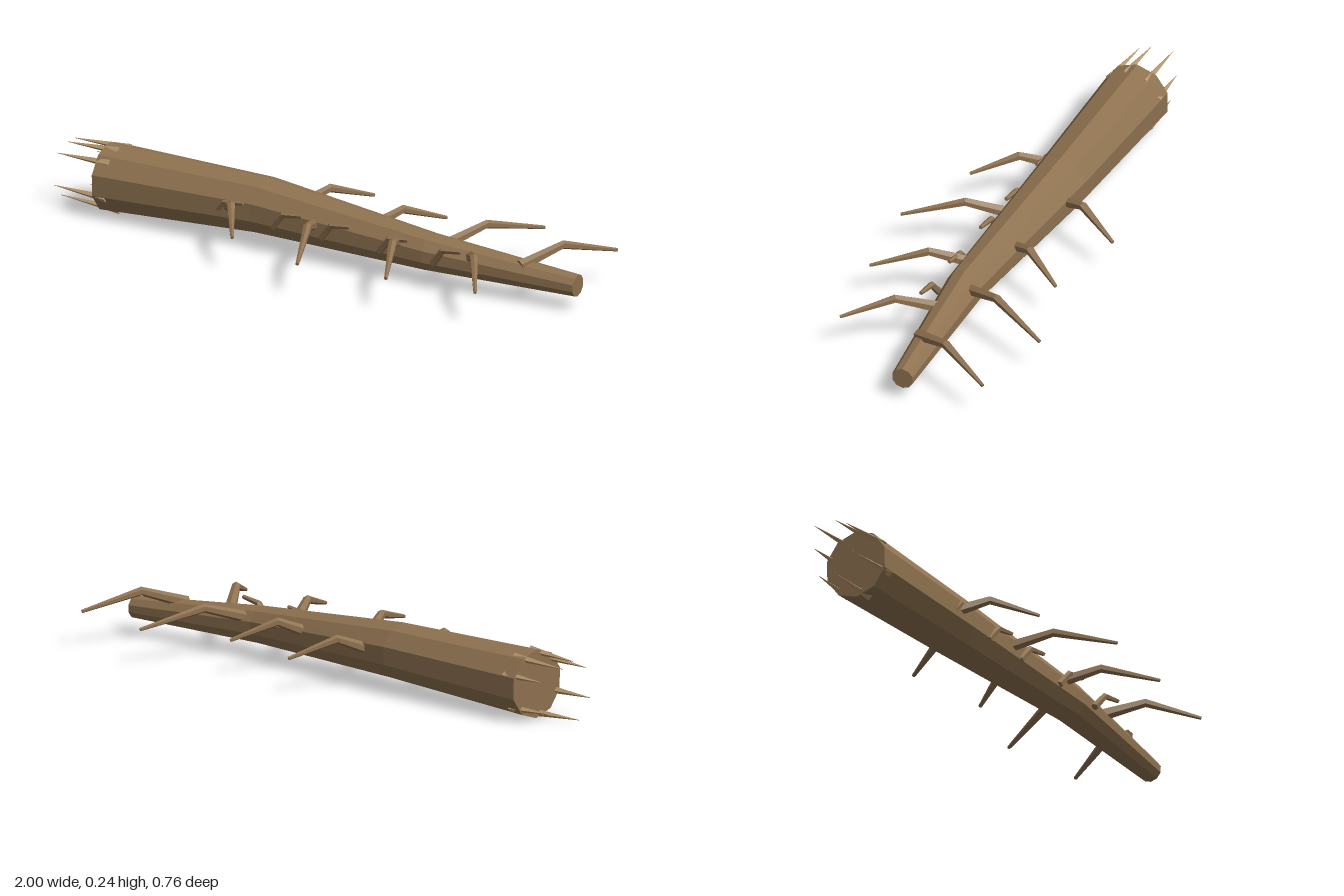
import * as THREE from 'three';

const V = (x, y, z) => new THREE.Vector3(x, y, z);
const paint = (color) => new THREE.MeshStandardMaterial({ color, flatShading: true, roughness: 1 });

// Closed faceted tube through points, with one radius per point
function loft(points, radii, sides) {
  const pos = [], idx = [];
  points.forEach((p, i) => {
    const a = points[Math.max(i - 1, 0)], b = points[Math.min(i + 1, points.length - 1)];
    const d = b.clone().sub(a).normalize();
    const u = V(0, 1, 0).addScaledVector(d, -d.y).normalize();
    const v = d.clone().cross(u);
    for (let j = 0; j < sides; j++) {
      const t = (j / sides) * Math.PI * 2;
      const q = p.clone().addScaledVector(u, Math.cos(t) * radii[i]).addScaledVector(v, Math.sin(t) * radii[i]);
      pos.push(q.x, q.y, q.z);
    }
  });
  const last = (points.length - 1) * sides, c0 = points.length * sides;
  const end = points[points.length - 1];
  pos.push(points[0].x, points[0].y, points[0].z, end.x, end.y, end.z);
  for (let j = 0; j < sides; j++) {
    const k = (j + 1) % sides;
    for (let r = 0; r < last; r += sides) {
      idx.push(r + j, r + k, r + sides + k, r + j, r + sides + k, r + sides + j);
    }
    idx.push(c0, k, j, c0 + 1, last + j, last + k);
  }
  const g = new THREE.BufferGeometry();
  g.setAttribute('position', new THREE.Float32BufferAttribute(pos, 3));
  g.setIndex(idx);
  g.computeVertexNormals();
  return g;
}

export function createModel() {
  const group = new THREE.Group();
  const bark = paint(0x8f7250), wood = paint(0xb6966c);
  const add = (name, geometry, material) => {
    const m = new THREE.Mesh(geometry, material);
    m.name = name;
    group.add(m);
  };

  // Tapering, slightly crooked trunk
  add('trunk', loft(
    [V(-0.82, 0.123, -0.005), V(-0.22, 0.136, -0.025), V(0.45, 0.111, -0.006), V(1, 0.088, -0.05)],
    [0.117, 0.098, 0.065, 0.038], 10), bark);

  // Long side branches: base x, base z, tip x, tip z
  const branches = [
    [-0.32, 0.04, -0.15, 0.275], [0.01, 0.03, 0.17, 0.37], [0.33, 0.02, 0.49, 0.325], [0.62, 0.01, 0.81, 0.275],
    [-0.13, -0.07, 0.01, -0.33], [0.18, -0.04, 0.33, -0.28], [0.48, -0.02, 0.65, -0.38], [0.8, -0.01, 0.97, -0.33],
  ];
  for (const [x, z, tx, tz] of branches) {
    const knee = V(x + (tx - x) * 0.45, 0.178, z + (tz - z) * 0.43);
    add('branch', loft([V(x, 0.13, z), knee, V(tx, 0.124, tz)], [0.021, 0.015, 0.006], 6), bark);
  }

  // Short bent twigs lying against the front of the trunk
  for (const [x, z] of [[-0.36, 0.062], [-0.13, 0.06], [0.06, 0.06], [0.29, 0.06], [0.5, 0.06]]) {
    add('twig', loft([V(x, 0.1, z), V(x + 0.045, 0.155, z + 0.01), V(x + 0.12, 0.165, z + 0.012)],
      [0.013, 0.011, 0.007], 5), bark);
  }

  // Splinters around the broken end: angle from the top towards the front, tip x
  const splinters = [[12, -0.97], [45, -0.98], [112, -0.98], [170, -1], [222, -0.94], [292, -0.93], [330, -0.99]];
  for (const [deg, tip] of splinters) {
    const t = THREE.MathUtils.degToRad(deg);
    const at = (x, r) => V(x, 0.123 + Math.cos(t) * r, -0.005 + Math.sin(t) * r);
    add('splinter', loft([at(-0.77, 0.106), at(tip, 0.098)], [0.014, 0.0008], 4), wood);
  }
  return group;
}
